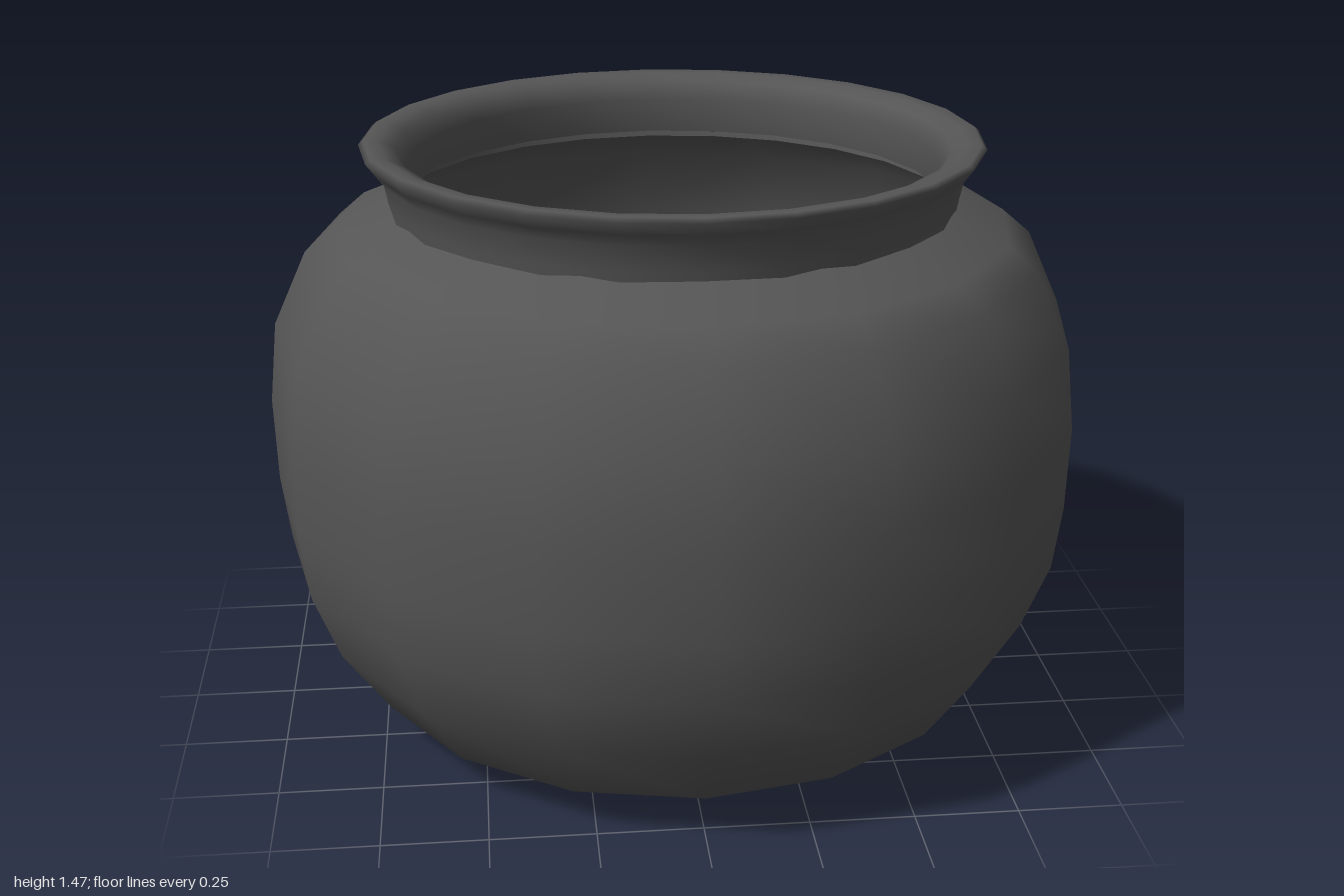
import * as THREE from 'three';

const iron = new THREE.MeshStandardMaterial({ color: 0x555555, side: THREE.DoubleSide });
iron.name = 'dark iron';

// Smooth turned part from [radius, height] pairs
function turned(name, profile, sides) {
  const points = profile.map(([r, y]) => new THREE.Vector2(r, y));
  const mesh = new THREE.Mesh(new THREE.LatheGeometry(points, sides), iron);
  mesh.name = name;
  return mesh;
}

export function createModel() {
  const pot = new THREE.Group();
  pot.name = 'pot';

  // Rounded belly with a shallow conical base, open at the mouth
  pot.add(turned('body', [
    [0, 0], [0.57, 0.045], [0.79, 0.105], [0.91, 0.28], [0.975, 0.45],
    [0.995, 0.61], [1, 0.82], [0.978, 1.02], [0.895, 1.2], [0.825, 1.26], [0.67, 1.325],
  ], 16));

  // Flared collar: up the outside, over the rim and down the inside
  pot.add(turned('collar', [
    [0.685, 1.3], [0.692, 1.34], [0.705, 1.4], [0.728, 1.43], [0.752, 1.462],
    [0.74, 1.472], [0.705, 1.47], [0.67, 1.455], [0.645, 1.41], [0.66, 1.32],
  ], 24));

  return pot;
}
